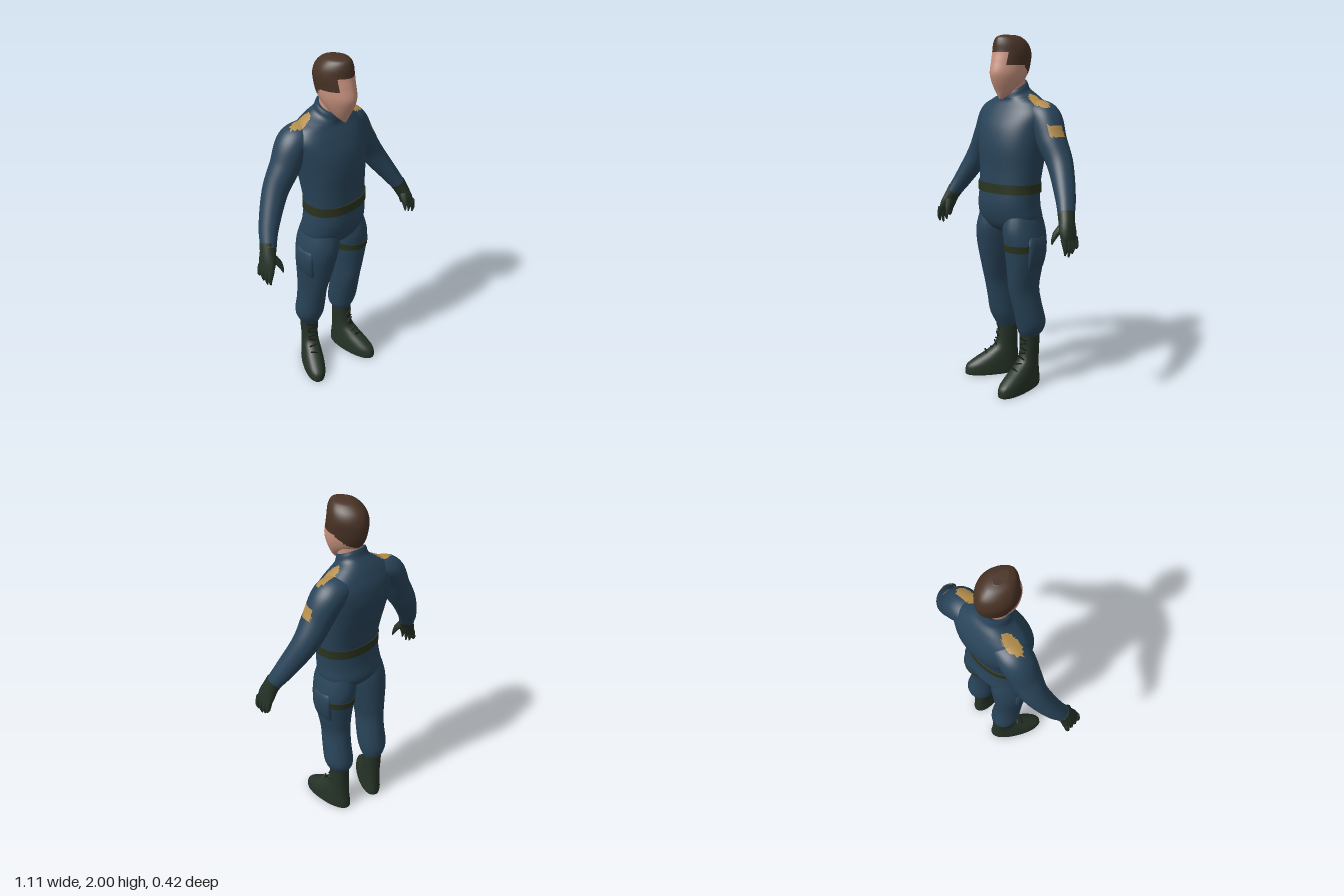
import * as THREE from 'three';

const mat = (name, color) => Object.assign(new THREE.MeshStandardMaterial({ color }), { name });

// Catmull-Rom resampling of ring rows [x, y, z, a, b, tilt]
function refine(rows, sub) {
  const out = [], at = (i) => rows[Math.min(Math.max(i, 0), rows.length - 1)];
  for (let i = 0; i < rows.length - 1; i++) {
    for (let s = 0; s < sub; s++) {
      const t = s / sub;
      out.push([0, 1, 2, 3, 4, 5].map((k) => {
        const [p, q, r, w] = [-1, 0, 1, 2].map((d) => at(i + d)[k] ?? 0);
        return q + 0.5 * t * (r - p + t * (2 * p - 5 * q + 4 * r - w + t * (3 * (q - r) + w - p)));
      }));
    }
  }
  out.push([0, 1, 2, 3, 4, 5].map((k) => at(rows.length)[k] ?? 0));
  return out;
}

// Closed skin over superellipse rings; pick(point) chooses the material index of a face
function loft(name, rows, materials, { along = false, n = 24, p = 2, sub = 4, pick = () => 0 } = {}) {
  const rings = refine(rows, sub), pts = [];
  const centre = rings.map((r) => new THREE.Vector3(r[0], r[1], r[2]));
  rings.forEach(([, , , a, b, tilt], i) => {
    const u = new THREE.Vector3(1, 0, 0), v = new THREE.Vector3(0, -tilt, 1);
    if (along) {
      const t = centre[Math.min(i + 1, rings.length - 1)].clone().sub(centre[Math.max(i - 1, 0)]).normalize();
      u.crossVectors(t, new THREE.Vector3(0, 0, 1)).normalize();
      v.crossVectors(u, t);
    }
    for (let j = 0; j < n; j++) {
      const th = (j / n) * Math.PI * 2, c = Math.cos(th), s = Math.sin(th);
      pts.push(centre[i].clone()
        .addScaledVector(u, a * Math.sign(c) * Math.abs(c) ** (2 / p))
        .addScaledVector(v, b * Math.sign(s) * Math.abs(s) ** (2 / p)));
    }
  });
  const tris = [], last = (rings.length - 1) * n;
  for (let i = 0; i < rings.length - 1; i++) {
    for (let j = 0; j < n; j++) {
      const a = i * n + j, b = i * n + ((j + 1) % n);
      tris.push([a, b, b + n], [a, b + n, a + n]);
    }
  }
  // End caps with their own vertices, so their edges stay sharp
  for (const [start, flip] of [[0, true], [last, false]]) {
    const base = pts.length;
    for (let j = 0; j < n; j++) pts.push(pts[start + j].clone());
    pts.push(centre[start ? rings.length - 1 : 0].clone());
    for (let j = 0; j < n; j++) {
      const a = base + j, b = base + ((j + 1) % n);
      tris.push(flip ? [b, a, base + n] : [a, b, base + n]);
    }
  }
  // Turn the skin outward
  let volume = 0;
  const tmp = new THREE.Vector3();
  for (const [a, b, c] of tris) volume += pts[a].dot(tmp.crossVectors(pts[b], pts[c]));
  if (volume < 0) tris.forEach((t) => t.reverse());

  const sets = materials.map(() => []);
  for (const t of tris) {
    const mid = pts[t[0]].clone().add(pts[t[1]]).add(pts[t[2]]).divideScalar(3);
    sets[pick(mid)].push(...t);
  }
  const geo = new THREE.BufferGeometry().setFromPoints(pts);
  geo.setIndex(sets.flat());
  let start = 0;
  sets.forEach((s, i) => { geo.addGroup(start, s.length, i); start += s.length; });
  geo.computeVertexNormals();
  const mesh = new THREE.Mesh(geo, materials.length > 1 ? materials : materials[0]);
  mesh.name = name;
  return mesh;
}

export function createModel() {
  const model = new THREE.Group();
  model.name = 'uniformedMan';
  const cloth = mat('navyCloth', 0x284358), skin = mat('skin', 0xc99480), hair = mat('brownHair', 0x483225);
  const gold = mat('goldPatch', 0xb48d4a), leather = mat('darkGreenLeather', 0x253226);
  const webbing = mat('oliveWebbing', 0x2b331f), lace = mat('blackLace', 0x161c16);

  // Gold patches: both shoulders and the left upper arm
  const inOval = (q, x, z, rx, rz) => ((q.x - x) / rx) ** 2 + ((q.z - z) / rz) ** 2 < 1;
  const patch = (q) => {
    const shoulder = q.y > 1.58 && (inOval(q, 0.18, -0.05, 0.072, 0.034) || inOval(q, -0.16, -0.088, 0.065, 0.036));
    const sleeve = q.x > 0.285 && Math.abs(q.y - 1.505) < 0.03 && Math.abs(q.z + 0.04) < 0.042;
    return shoulder || sleeve ? 1 : 0;
  };

  // Torso with collar
  model.add(loft('torso', [
    [0, 0.92, -0.025, 0.07, 0.07], [0, 0.95, -0.025, 0.14, 0.115], [0, 1.0, -0.022, 0.193, 0.142],
    [0, 1.08, -0.006, 0.192, 0.144], [0.005, 1.18, -0.005, 0.187, 0.138], [0.005, 1.28, -0.015, 0.193, 0.145],
    [0.004, 1.4, -0.03, 0.205, 0.16], [0, 1.5, -0.048, 0.218, 0.16], [0, 1.58, -0.062, 0.226, 0.138],
    [0, 1.635, -0.068, 0.195, 0.11], [0.002, 1.67, -0.058, 0.14, 0.092, 0.15], [0.005, 1.695, -0.042, 0.092, 0.077, 0.35],
    [0.005, 1.722, -0.037, 0.08, 0.07, 0.45], [0.005, 1.735, -0.037, 0.074, 0.066, 0.45],
  ], [cloth, gold], { n: 56, sub: 7, p: 2.2, pick: patch }));

  // Belt
  model.add(loft('belt', [
    [0.005, 1.155, -0.005, 0.194, 0.145], [0.005, 1.207, -0.006, 0.193, 0.145],
  ], [webbing], { n: 56, sub: 1, p: 2.2 }));

  // Neck and head with hair
  model.add(loft('neck', [
    [0.008, 1.62, -0.04, 0.06, 0.06], [0.008, 1.72, -0.03, 0.064, 0.064], [0.01, 1.82, -0.02, 0.068, 0.075],
  ], [skin], { p: 2 }));
  const hairline = (q) => {
    if (q.z > 0.03 && Math.abs(q.x - 0.01) < 0.062) return 1.91;
    return q.z > -0.01 ? 1.845 : 1.845 + (q.z + 0.01) * 0.8;
  };
  model.add(loft('head', [
    [0.008, 1.662, 0.064, 0.008, 0.012], [0.009, 1.7, 0.045, 0.045, 0.048], [0.01, 1.75, 0.02, 0.074, 0.098],
    [0.01, 1.8, 0.005, 0.09, 0.126], [0.01, 1.86, -0.01, 0.097, 0.128], [0.01, 1.91, -0.016, 0.1, 0.122],
    [0.01, 1.955, -0.008, 0.088, 0.11], [0.01, 1.988, 0.006, 0.062, 0.082], [0.01, 2.0, 0.01, 0.03, 0.045],
  ], [skin, hair], { n: 44, sub: 7, p: 1.75, pick: (q) => (q.y > hairline(q) ? 1 : 0) }));

  for (const [side, s] of [['left', 1], ['right', -1]]) {
    const left = s > 0;

    // Sleeve from shoulder to cuff
    const z = left ? [-0.08, -0.078, -0.06, -0.045, 0.02, 0.068] : [-0.09, -0.1, -0.1, -0.1, -0.055, -0.01];
    model.add(loft(side + 'Arm', [
      [s * 0.1, 1.605, z[0], 0.055, 0.08], [s * 0.2, 1.565, z[1], 0.082, 0.092], [s * 0.267, 1.445, z[2], 0.08, 0.083],
      [s * 0.342, 1.325, z[3], 0.07, 0.07], [s * 0.435, 1.17, z[4], 0.052, 0.056], [s * 0.483, 1.08, z[5], 0.04, 0.044],
    ], [cloth, gold], { along: true, n: 36, sub: 10, pick: patch }));

    // Glove: palm, four fingers and thumb
    const dz = left ? 0 : -0.08;
    const hand = new THREE.Group();
    hand.name = side + 'Glove';
    hand.add(loft('palm', [
      [s * 0.474, 1.1, 0.058 + dz, 0.045, 0.048], [s * 0.492, 1.06, 0.074 + dz, 0.04, 0.047],
      [s * 0.512, 1.01, 0.088 + dz, 0.032, 0.056], [s * 0.528, 0.968, 0.094 + dz, 0.02, 0.054],
    ], [leather], { along: true, n: 12, sub: 2 }));
    for (let f = 0; f < 4; f++) {
      const fz = 0.052 + f * 0.028 + dz, tip = [0.925, 0.9, 0.888, 0.9][f];
      hand.add(loft('finger' + (f + 1), [
        [s * 0.526, 0.985, fz, 0.018, 0.016], [s * 0.54, 0.935, fz + 0.001, 0.014, 0.013], [s * 0.536, tip, fz, 0.004, 0.004],
      ], [leather], { along: true, n: 7, sub: 2 }));
    }
    hand.add(loft('thumb', [
      [s * 0.492, 1.05, 0.09 + dz, 0.02, 0.026], [s * 0.466, 1.0, 0.13 + dz, 0.017, 0.018], [s * 0.456, 0.947, 0.148 + dz, 0.004, 0.005],
    ], [leather], { along: true, n: 7, sub: 2 }));
    model.add(hand);

    // Trouser leg, bloused over the boot
    model.add(loft(side + 'Leg', left ? [
      [0.095, 1.06, -0.015, 0.085, 0.11], [0.108, 0.95, -0.015, 0.104, 0.137], [0.118, 0.85, -0.015, 0.107, 0.13],
      [0.114, 0.7, -0.012, 0.088, 0.11], [0.108, 0.6, -0.015, 0.077, 0.1], [0.117, 0.5, -0.032, 0.08, 0.093],
      [0.125, 0.4, -0.055, 0.085, 0.09], [0.12, 0.345, -0.06, 0.076, 0.08], [0.116, 0.31, -0.056, 0.056, 0.06],
    ] : [
      [-0.095, 1.06, -0.02, 0.085, 0.11], [-0.108, 0.95, -0.022, 0.104, 0.137], [-0.118, 0.85, -0.03, 0.107, 0.134],
      [-0.125, 0.7, -0.045, 0.087, 0.115], [-0.13, 0.6, -0.057, 0.075, 0.1], [-0.126, 0.5, -0.072, 0.08, 0.093],
      [-0.125, 0.4, -0.09, 0.085, 0.09], [-0.12, 0.345, -0.1, 0.074, 0.078], [-0.115, 0.3, -0.105, 0.056, 0.06],
    ], [cloth], { sub: 4 }));

    // Thigh pocket
    const pz = left ? -0.015 : -0.03;
    model.add(loft(side + 'ThighPocket', [
      [s * 0.19, 0.935, pz, 0.012, 0.04], [s * 0.202, 0.9, pz, 0.024, 0.066], [s * 0.204, 0.82, pz, 0.028, 0.068],
      [s * 0.192, 0.74, pz, 0.02, 0.06], [s * 0.185, 0.725, pz, 0.01, 0.05],
    ], [cloth], { p: 3, sub: 2 }));

    // Boot: shaft and foot, turned out to its heading
    const boot = new THREE.Group();
    boot.name = side + 'Boot';
    boot.position.set(left ? 0.118 : -0.115, 0, left ? -0.055 : -0.108);
    boot.rotation.y = left ? 0.08 : -0.55;
    boot.add(loft('bootBody', [
      [0, 0.335, 0, 0.055, 0.06], [0, 0.25, 0, 0.053, 0.06], [0, 0.175, 0.008, 0.05, 0.07],
      [0, 0.13, 0.035, 0.054, 0.1], [0, 0.09, 0.068, 0.06, 0.136], [0, 0.055, 0.09, 0.064, 0.163],
      [0, 0.02, 0.094, 0.066, 0.17], [0, 0, 0.094, 0.065, 0.168],
    ], [leather], { n: 28, p: 2.2 }));
    // Crossed laces up the front
    for (let k = 0; k < 7; k++) {
      const y = 0.13 + k * 0.027;
      const front = y < 0.175 ? 0.135 - (y - 0.13) * 1.25 : 0.078 - (Math.min(y, 0.25) - 0.175) * 0.24;
      const bar = new THREE.Mesh(new THREE.BoxGeometry(0.045, 0.007, 0.008), lace);
      bar.name = 'lace' + (k + 1);
      bar.position.set(0, y, front);
      bar.rotation.z = k % 2 ? 0.3 : -0.3;
      boot.add(bar);
    }
    model.add(boot);
  }

  // Strap around the left thigh
  model.add(loft('thighStrap', [
    [0.117, 0.83, -0.015, 0.109, 0.132], [0.117, 0.87, -0.015, 0.11, 0.137],
  ], [webbing], { sub: 1 }));

  return model;
}
